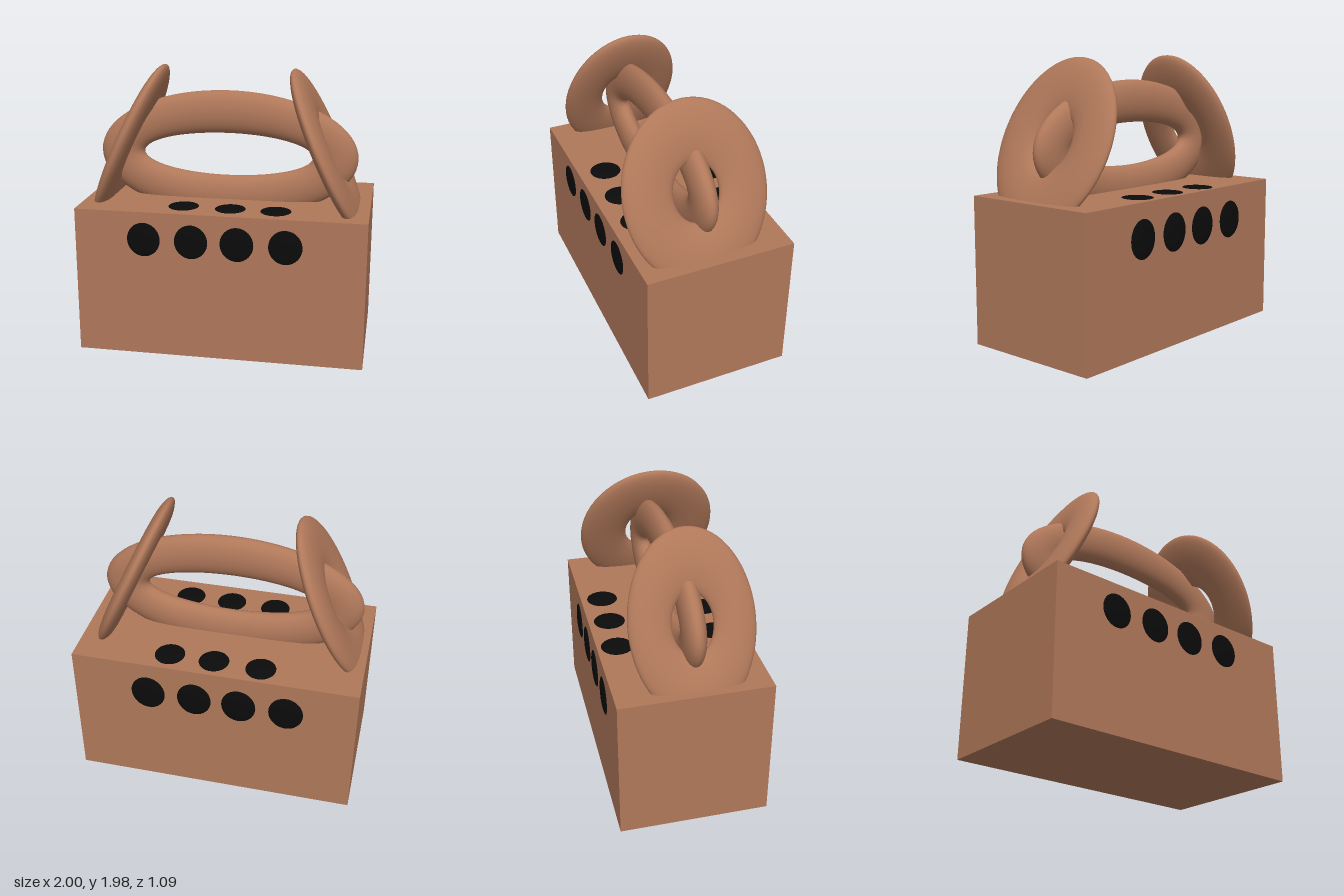
import * as THREE from 'three';
import { ParametricGeometry } from 'three/addons/geometries/ParametricGeometry.js';

const clay = new THREE.MeshStandardMaterial({ color: 0xb0785a });
clay.name = 'clay brown';
const black = new THREE.MeshStandardMaterial({ color: 0x0b0b0b });
black.name = 'black';

// Oval ring in the xy plane: outer and inner half-sizes, and half-depth along z
function ovalRing(outX, inX, outY, inY, depth) {
  const rx = (outX + inX) / 2, tx = (outX - inX) / 2;
  const ry = (outY + inY) / 2, ty = (outY - inY) / 2;
  return new ParametricGeometry((u, v, p) => {
    const a = u * Math.PI * 2, b = v * Math.PI * 2;
    p.set((rx + tx * Math.cos(b)) * Math.cos(a), (ry + ty * Math.cos(b)) * Math.sin(a), depth * Math.sin(b));
  }, 72, 32);
}

export function createModel() {
  const model = new THREE.Group();
  function add(name, geometry, material, x, y, z) {
    const mesh = new THREE.Mesh(geometry, material);
    mesh.name = name;
    mesh.position.set(x, y, z);
    model.add(mesh);
    return mesh;
  }

  // Solid block
  add('body', new THREE.BoxGeometry(2, 1.04, 1.04), clay, 0, 0.52, -0.01);

  // Long oval handle
  add('handle', ovalRing(0.92, 0.605, 0.455, 0.153, 0.078), clay, -0.02, 1.35, 0.015);

  // Two oval rings leaning inwards, sunk into the block
  const tilt = THREE.MathUtils.degToRad(24.5);
  const rightRing = add('rightRing', ovalRing(0.42, 0.137, 0.62, 0.2, 0.057), clay, -0.72, 1.41, 0.025);
  rightRing.rotation.set(0, Math.PI / 2, -tilt, 'ZYX');
  const leftRing = add('leftRing', ovalRing(0.5, 0.16, 0.61, 0.2, 0.057), clay, 0.69, 1.41, 0.043);
  leftRing.rotation.set(0, Math.PI / 2, tilt, 'ZYX');

  // Flat lens-shaped spots
  const ball = new THREE.SphereGeometry(1, 40, 20);
  const spot = (name, x, y, z, sx, sy, sz) => add(name, ball, black, x, y, z).scale.set(sx, sy, sz);

  const sideX = [-0.515, -0.185, 0.13, 0.46];
  sideX.forEach((x) => {
    spot('frontSpot', x, 0.845, 0.51, 0.115, 0.12, 0.011);
    spot('backSpot', x, 0.795, -0.53, 0.12, 0.135, 0.016);
  });
  [[-0.31, -0.39], [0.02, -0.38], [0.335, -0.375]].forEach(([x, z]) => {
    spot('topSpot', x, 1.04, z, 0.105, 0.007, 0.11);
    spot('topSpot', x + 0.035, 1.04, z + 0.705, 0.105, 0.007, 0.11);
  });

  return model;
}
